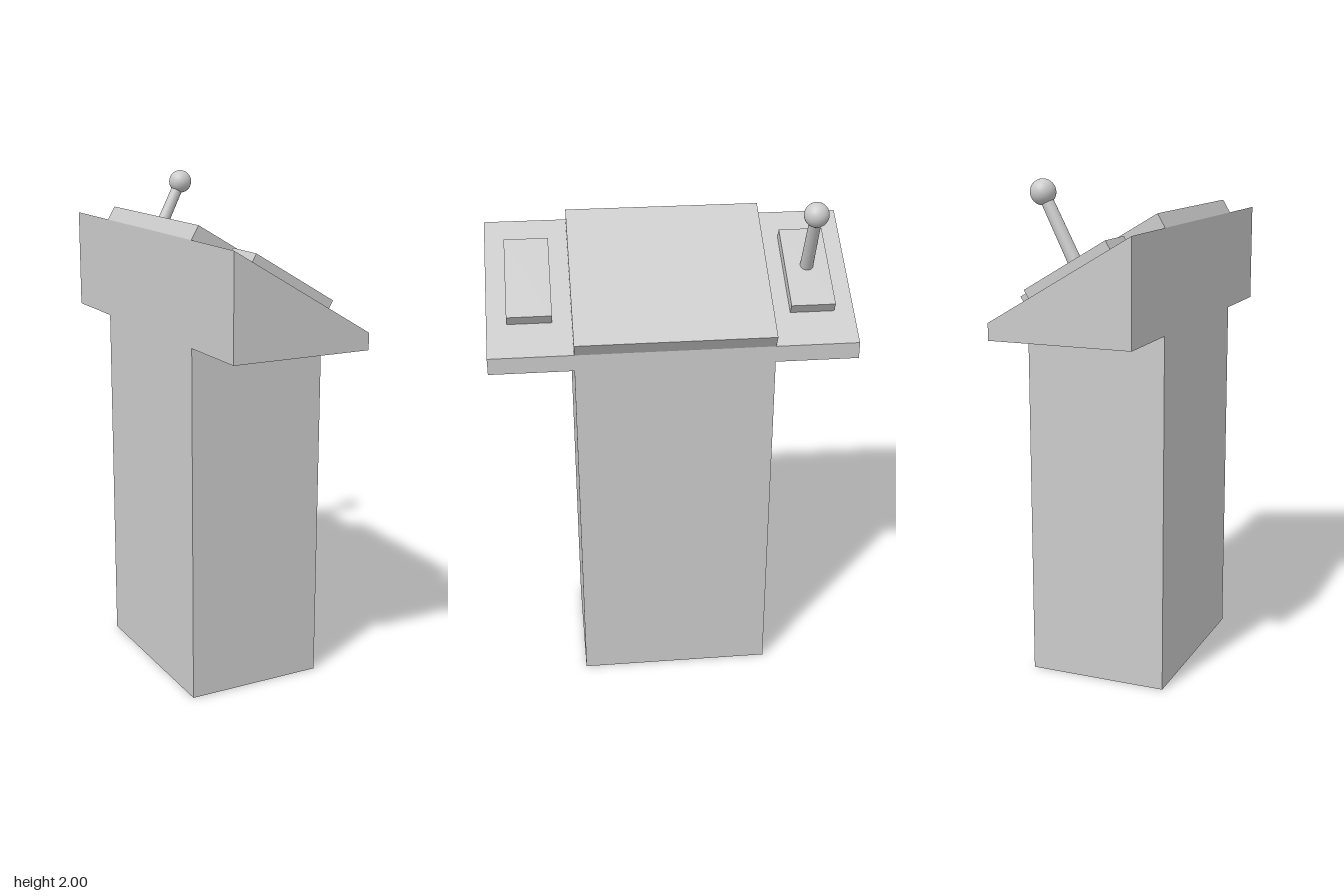
import * as THREE from 'three';

const material = new THREE.MeshStandardMaterial({ color: 0xcccccc, flatShading: true });
const smooth = new THREE.MeshStandardMaterial({ color: 0xcccccc });

// Main dimensions
const BACK = -0.298, EDGE = 0.266;
const HEAD_BOTTOM = 1.425, HEAD_HIGH = 1.825, HEAD_LOW = 1.49;
const SLOPE = Math.atan2(HEAD_HIGH - HEAD_LOW, EDGE - BACK);
const SLOPE_LENGTH = Math.hypot(HEAD_HIGH - HEAD_LOW, EDGE - BACK);

function addMesh(parent, name, geometry, mat = material) {
  const mesh = new THREE.Mesh(geometry, mat);
  mesh.name = name;
  parent.add(mesh);
  return mesh;
}

// Slab lying on the sloped desk, from start to end along the slope
function addSlab(desk, name, start, end, thickness, width, z) {
  const slab = addMesh(desk, name, new THREE.BoxGeometry(end - start, thickness, width));
  slab.position.set((start + end) / 2, thickness / 2, z);
}

export function createModel() {
  const model = new THREE.Group();
  model.name = 'controlConsole';

  // Pedestal
  const pedestal = addMesh(model, 'pedestal', new THREE.BoxGeometry(EDGE - BACK, HEAD_BOTTOM, 0.77));
  pedestal.position.set((BACK + EDGE) / 2, HEAD_BOTTOM / 2, 0);

  // Wedge-shaped head, wider than the pedestal
  const profile = new THREE.Shape([
    new THREE.Vector2(BACK, HEAD_BOTTOM),
    new THREE.Vector2(EDGE, HEAD_BOTTOM),
    new THREE.Vector2(EDGE, HEAD_LOW),
    new THREE.Vector2(BACK, HEAD_HIGH),
  ]);
  const headGeometry = new THREE.ExtrudeGeometry(profile, { depth: 1.42, bevelEnabled: false });
  addMesh(model, 'head', headGeometry.translate(0, 0, -0.71));

  // Parts lying on the sloped top
  const desk = new THREE.Group();
  desk.name = 'desk';
  desk.position.set(BACK, HEAD_HIGH, 0);
  desk.rotation.z = -SLOPE;
  model.add(desk);
  addSlab(desk, 'centrePanel', 0, SLOPE_LENGTH, 0.06, 0.77, 0);
  for (const [name, side] of [['leverPad', -1], ['plainPad', 1]]) {
    addSlab(desk, name, 0.127, 0.502, 0.044, 0.173, side * 0.546);
  }

  // Lever with a ball knob, leaning towards the low edge
  const base = new THREE.Vector3(-0.013, 1.7, -0.546);
  const tip = new THREE.Vector3(0.114, 1.954, -0.546);
  const direction = tip.clone().sub(base);
  const rod = addMesh(model, 'leverRod',
    new THREE.CylinderGeometry(0.023, 0.026, direction.length(), 24), smooth);
  rod.position.copy(base).add(tip).multiplyScalar(0.5);
  rod.quaternion.setFromUnitVectors(new THREE.Vector3(0, 1, 0), direction.normalize());
  const knob = addMesh(model, 'leverKnob', new THREE.SphereGeometry(0.048, 32, 20), smooth);
  knob.position.copy(tip);

  return model;
}
